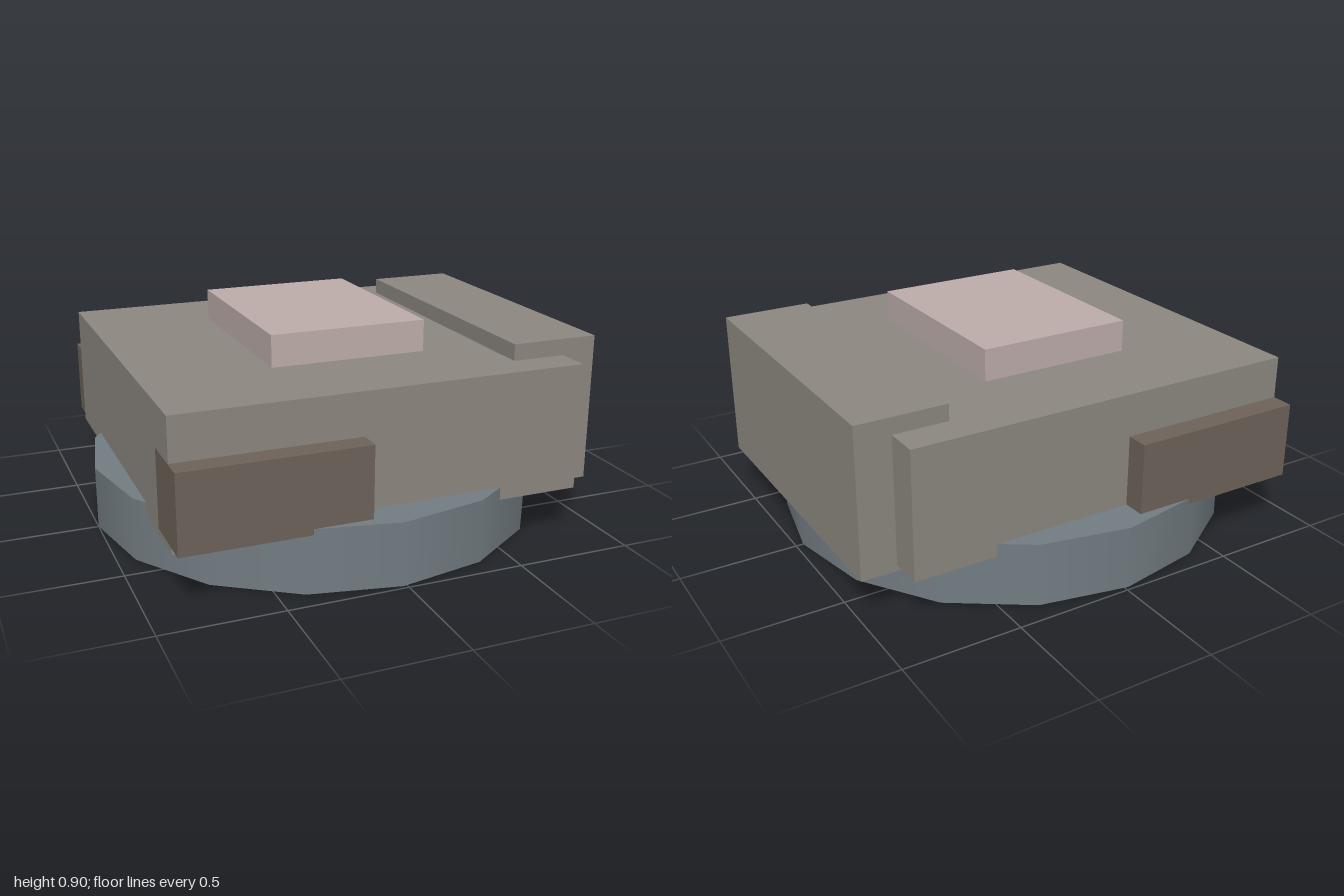
import * as THREE from 'three';

const paint = (name, color, side = THREE.FrontSide) => {
  const m = new THREE.MeshStandardMaterial({ color, side });
  m.name = name;
  return m;
};

export function createModel() {
  const group = new THREE.Group();
  group.name = 'turret';
  const grey = paint('warm grey', 0x8c877f);
  const brown = paint('dark brown', 0x6d6359);
  const pink = paint('pale pink', 0xbdadaa);
  const blue = paint('blue grey', 0x727c82, THREE.DoubleSide);

  const add = (name, geometry, material) => {
    const mesh = new THREE.Mesh(geometry, material);
    mesh.name = name;
    group.add(mesh);
    return mesh;
  };
  // Box given by its lower and upper limits on each axis
  const box = (name, material, [x0, x1], [y0, y1], [z0, z1]) =>
    add(name, new THREE.BoxGeometry(x1 - x0, y1 - y0, z1 - z0), material)
      .position.set((x0 + x1) / 2, (y0 + y1) / 2, (z0 + z1) / 2);

  // Sixteen-sided base ring, open below and closed on top
  const radius = 0.984, height = 0.27, sides = 16, centreX = -0.016;
  add('baseRing', new THREE.CylinderGeometry(radius, radius, height, sides, 1, true), blue)
    .position.set(centreX, height / 2, 0);
  const lid = add('baseTop', new THREE.CircleGeometry(radius, sides), blue);
  lid.rotation.x = -Math.PI / 2;
  lid.position.set(centreX, height, 0);

  // Main body, with a taller block across its left end
  box('body', grey, [-0.885, 0.85], [0.215, 0.755], [-0.82, 0.82]);
  box('endBlock', grey, [0.615, 1], [0.188, 0.825], [-0.676, 0.676]);

  // Raised hatch
  box('hatch', pink, [-0.353, 0.32], [0.765, 0.9], [-0.436, 0.436]);

  // Side boxes; the front one wraps onto the end face
  box('frontSideBox', brown, [-0.887, -0.115], [0.245, 0.573], [0.64, 0.915]);
  box('backSideBox', brown, [-0.885, -0.115], [0.245, 0.573], [-0.915, -0.82]);
  return group;
}
